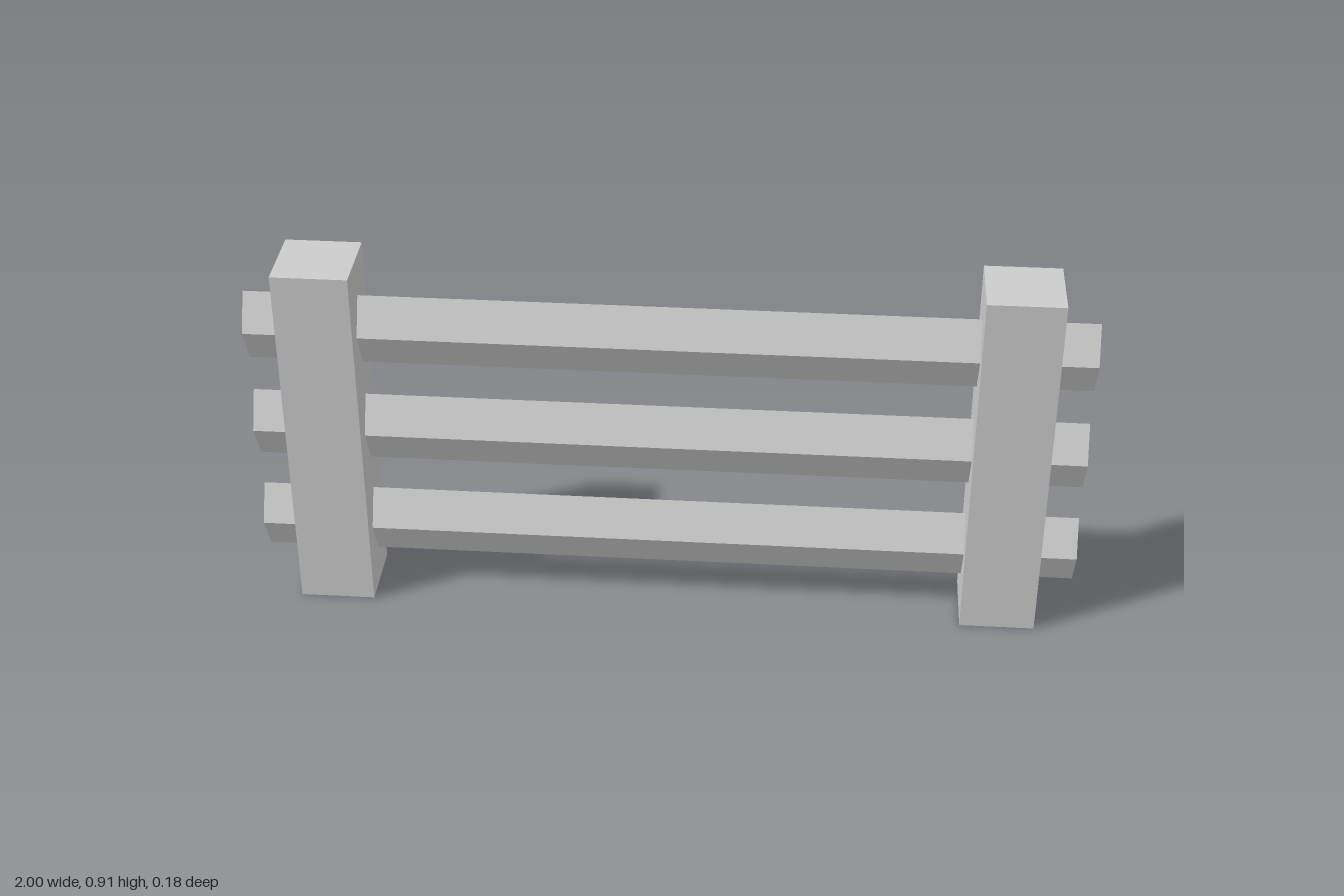
import * as THREE from 'three';

const U = 1 / 11; // base module: every size is a multiple of it

export function createModel() {
  const group = new THREE.Group();
  const material = new THREE.MeshStandardMaterial({ color: 0xcccccc, flatShading: true });

  // Square posts
  const postGeometry = new THREE.BoxGeometry(2 * U, 10 * U, 2 * U);
  for (const [name, side] of [['leftPost', 1], ['rightPost', -1]]) {
    const post = new THREE.Mesh(postGeometry, material);
    post.name = name;
    post.position.set(side * 9 * U, 5 * U, 0);
    group.add(post);
  }

  // Diamond-section rails running through both posts
  const diamond = new THREE.Shape([
    new THREE.Vector2(U / 2, 0),
    new THREE.Vector2(0, U),
    new THREE.Vector2(-U / 2, 0),
    new THREE.Vector2(0, -U),
  ]);
  const railGeometry = new THREE.ExtrudeGeometry(diamond, { depth: 2, bevelEnabled: false });
  railGeometry.translate(0, 0, -1).rotateY(Math.PI / 2);
  ['lowerRail', 'middleRail', 'upperRail'].forEach((name, i) => {
    const rail = new THREE.Mesh(railGeometry, material);
    rail.name = name;
    rail.position.y = (2 + 3 * i) * U;
    group.add(rail);
  });

  return group;
}
